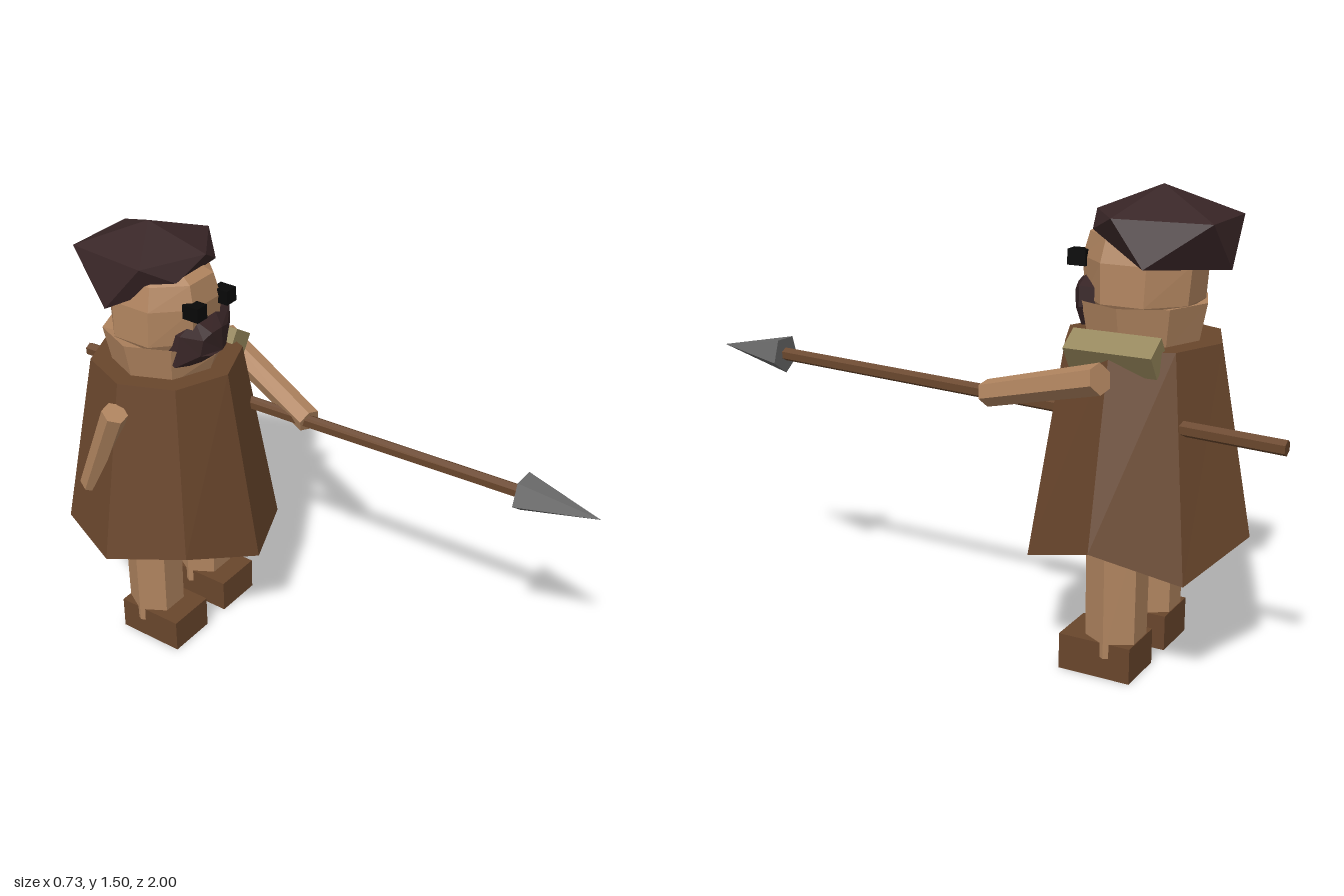
import * as THREE from 'three';

const mat = (name, color) => {
  const m = new THREE.MeshStandardMaterial({ color, flatShading: true });
  m.name = name;
  return m;
};

// Flat-shaded skin over rings of points, closed at both ends
function loft(rings) {
  const pos = [];
  const tri = (a, b, c) => pos.push(...a, ...b, ...c);
  const n = rings[0].length;
  for (let r = 0; r < rings.length - 1; r++) {
    const lo = rings[r], hi = rings[r + 1];
    for (let i = 0; i < n; i++) {
      const j = (i + 1) % n;
      tri(lo[i], lo[j], hi[j]);
      tri(lo[i], hi[j], hi[i]);
    }
  }
  const first = rings[0], last = rings[rings.length - 1];
  for (let i = 1; i < n - 1; i++) {
    tri(first[0], first[i + 1], first[i]);
    tri(last[0], last[i], last[i + 1]);
  }
  const g = new THREE.BufferGeometry();
  g.setAttribute('position', new THREE.Float32BufferAttribute(pos, 3));
  g.computeVertexNormals();
  return g;
}

const BODY_Z = -0.48;

// Horizontal eight-sided ring; heights may differ per corner
function ring(rx, rz, heights, turn = 0) {
  return Array.from({ length: 8 }, (_, i) => {
    const a = (i + turn) * Math.PI / 4;
    const y = Array.isArray(heights) ? heights[i] : heights;
    return [Math.sin(a) * rx, y, BODY_Z + Math.cos(a) * rz];
  });
}

export function createModel() {
  const skin = mat('skin', 0xb0845f);
  const leather = mat('brown leather', 0x69462c);
  const hairMat = mat('dark hair', 0x382526);
  const olive = mat('olive cloth', 0x94855a);
  const metal = mat('grey metal', 0x686868);
  const black = mat('black', 0x080808);

  const model = new THREE.Group();
  const add = (name, geo, material, x = 0, y = 0, z = 0) => {
    const mesh = new THREE.Mesh(geo, material);
    mesh.name = name;
    mesh.position.set(x, y, z);
    model.add(mesh);
    return mesh;
  };

  // Tapered cylinder from point a to point b
  const rod = (name, a, b, ra, rb, sides, material) => {
    const va = new THREE.Vector3(...a), vb = new THREE.Vector3(...b);
    const dir = vb.clone().sub(va);
    const mid = va.add(vb).multiplyScalar(0.5);
    const mesh = add(name, new THREE.CylinderGeometry(rb, ra, dir.length(), sides), material, mid.x, mid.y, mid.z);
    mesh.quaternion.setFromUnitVectors(new THREE.Vector3(0, 1, 0), dir.normalize());
    return mesh;
  };

  // Tunic with an uneven hem
  const hem = [0.37, 0.37, 0.46, 0.37, 0.46, 0.44, 0.425, 0.465];
  add('tunic', loft([ring(0.367, 0.363, hem), ring(0.25, 0.25, 1.045)]), leather);

  // Neck collar and head
  const collarTop = [1.1, 1.16, 1.16, 1.16, 1.16, 1.16, 1.16, 1.16];
  add('collar', loft([ring(0.18, 0.175, 1.03), ring(0.207, 0.2, collarTop)]), skin);
  add('head', loft([
    ring(0.13, 0.14, 1.06, 0.5), ring(0.185, 0.18, 1.16, 0.5),
    ring(0.18, 0.19, 1.28, 0.5), ring(0.155, 0.17, 1.355, 0.5), ring(0.1, 0.1, 1.39, 0.5),
  ]), skin);

  // Hair cap
  add('hair', loft([
    [[0.12, 1.37, -0.36], [0.21, 1.28, -0.56], [0, 1.265, -0.75], [-0.205, 1.27, -0.55], [-0.08, 1.36, -0.36]],
    [[0.04, 1.42, -0.335], [0.215, 1.42, -0.46], [0.12, 1.41, -0.735], [-0.13, 1.41, -0.735], [-0.17, 1.42, -0.43]],
    Array(5).fill([0, 1.5, -0.53]),
  ]), hairMat);

  // Beard: outline shrunk and pushed forward
  const outline = [[0.06, 1.07], [0.12, 1.08], [0.15, 1.14], [0.15, 1.205], [0.05, 1.235],
    [-0.05, 1.235], [-0.115, 1.2], [-0.14, 1.1], [-0.05, 1.075]];
  const slice = (s, z) => outline.map(([x, y]) => [x * s, 1.15 + (y - 1.15) * s, z - Math.abs(x) * 0.15]);
  add('beard', loft([slice(0.85, -0.37), slice(1, -0.31), slice(0.5, -0.262)]), hairMat);

  // Eyes
  for (const x of [-0.069, 0.081]) {
    add('eye', new THREE.BoxGeometry(0.048, 0.048, 0.06), black, x, 1.278, -0.3);
  }

  // Legs and boots
  for (const x of [-0.13, 0.143]) {
    add('leg', new THREE.CylinderGeometry(0.098, 0.095, 0.42, 6, 1, false, Math.PI / 6), skin, x, 0.28, -0.475);
    add('boot', new THREE.BoxGeometry(0.173, 0.117, 0.24), leather, x, 0.0585, -0.44);
  }

  // Arms
  rod('leftArm', [0.305, 0.975, -0.48], [0.185, 0.845, -0.04], 0.048, 0.043, 6, skin);
  rod('rightArm', [-0.292, 0.965, -0.46], [-0.262, 0.62, -0.62], 0.043, 0.038, 6, skin);

  // Shoulder pad
  const pad = add('shoulderPad', new THREE.BoxGeometry(0.085, 0.085, 0.28), olive, 0.21, 1.03, BODY_Z);
  pad.rotation.z = -0.58;

  // Spear
  rod('spearShaft', [0.18, 0.815, -1], [0.18, 0.873, 0.75], 0.024, 0.022, 6, leather);
  rod('spearHead', [0.18, 0.873, 0.742], [0.18, 0.876, 1], 0.065, 0, 5, metal);

  return model;
}
